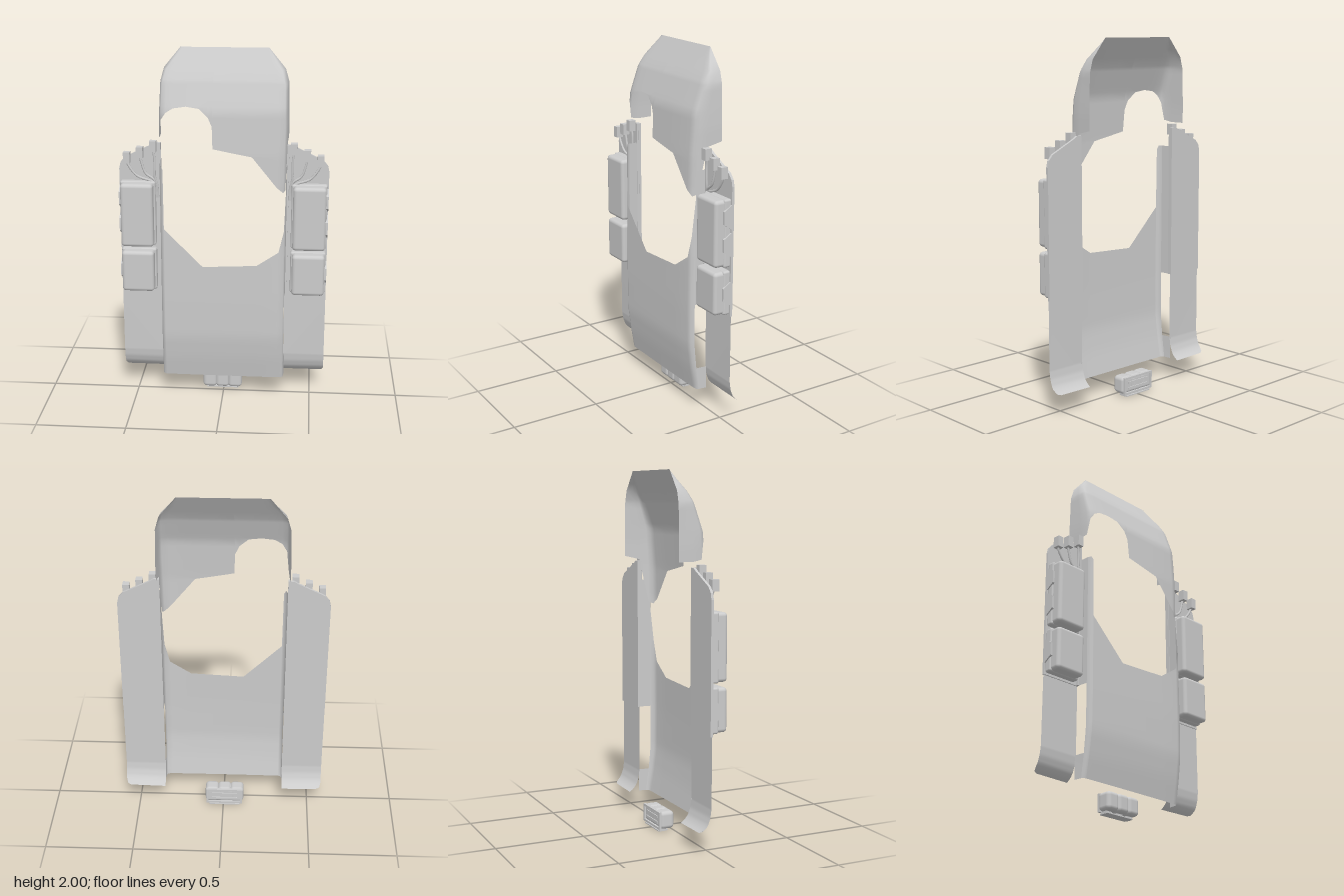
import * as THREE from 'three';
import { mergeVertices } from 'three/addons/utils/BufferGeometryUtils.js';
import { RoundedBoxGeometry } from 'three/addons/geometries/RoundedBoxGeometry.js';

const solid = new THREE.MeshStandardMaterial({ color: 0xcccccc });
const thin = new THREE.MeshStandardMaterial({ color: 0xcccccc, side: THREE.DoubleSide });

// Piecewise-linear lookup in a list of [key, value]
function lookup(points, k) {
  if (k <= points[0][0]) return points[0][1];
  for (let i = 1; i < points.length; i++) {
    const [a, va] = points[i - 1], [b, vb] = points[i];
    if (k <= b) return va + (vb - va) * (k - a) / (b - a);
  }
  return points[points.length - 1][1];
}

function add(parent, name, geometry, material = solid, x = 0, y = 0, z = 0) {
  const mesh = new THREE.Mesh(geometry, material);
  mesh.name = name;
  mesh.position.set(x, y, z);
  parent.add(mesh);
  return mesh;
}

// Curved sheet from columns [x, depth, low y, high y]; the rows are cut off at each column's ends
function sheet(columns, levels, place) {
  const pos = [], index = [], n = levels.length;
  for (const [x, d, lo, hi] of columns)
    for (const level of levels) pos.push(...place(x, d, Math.min(hi, Math.max(lo, level))));
  for (let c = 0; c < columns.length - 1; c++)
    for (let r = 0; r < n - 1; r++) {
      const a = c * n + r, b = a + n;
      index.push(a, b, b + 1, a, b + 1, a + 1);
    }
  let g = new THREE.BufferGeometry();
  g.setAttribute('position', new THREE.Float32BufferAttribute(pos, 3));
  g.setIndex(index);
  g = mergeVertices(g, 1e-5);
  const kept = [], id = g.index.array;
  for (let i = 0; i < id.length; i += 3) {
    const [a, b, c] = [id[i], id[i + 1], id[i + 2]];
    if (a !== b && b !== c && a !== c) kept.push(a, b, c);
  }
  g.setIndex(kept);
  g.computeVertexNormals();
  return g;
}

function rangeLevels(lo, hi, n) {
  return Array.from({ length: n + 1 }, (_, i) => lo + (hi - lo) * i / n);
}

function outline(points) {
  return new THREE.Shape(points.map(([x, y]) => new THREE.Vector2(x, y)));
}

// Upper shell: U-shaped sections that close into a chamfered top edge
function addHood(group) {
  const front = [[1.24, 0.09], [1.45, 0.087], [1.68, 0.07], [1.84, 0.01], [2, -0.09]];
  const width = [[1.24, 0.35], [1.6, 0.355], [1.82, 0.35], [1.89, 0.33], [2, 0.24]];
  const columns = [
    [-0.355, 0, 1.52], [-0.35, 0.5, 1.52], [-0.346, 0.8, 1.53], [-0.335, 0.93, 1.63],
    [-0.31, 0.98, 1.67], [-0.27, 1, 1.695], [-0.2, 1, 1.705], [-0.13, 1, 1.695], [-0.08, 1, 1.65],
    [-0.058, 1, 1.6], [-0.054, 1, 1.48], [0.05, 1, 1.46], [0.16, 1, 1.44], [0.3, 0.985, 1.27],
    [0.335, 0.93, 1.24], [0.346, 0.8, 1.25], [0.35, 0.5, 1.5], [0.355, 0, 1.52],
  ].map(c => [...c, 2]);
  const levels = [...rangeLevels(1.24, 1.82, 20), 1.84, 1.89, 1.93, 1.97, 2];
  add(group, 'hood', sheet(columns, levels, (x, d, y) =>
    [x * lookup(width, y) / 0.355, y, -0.09 + d * (lookup(front, y) + 0.09)]), thin);
}

// Lower front panel with its broken upper edge, and the side walls behind it
function addFrontPanel(group) {
  const front = [[0.12, 0.052], [0.25, 0.076], [0.38, 0.093], [0.6, 0.095], [1.38, 0.088]];
  const place = (x, d, y) => [x, y, -0.01 + d * (lookup(front, y) + 0.01)];
  const columns = [
    [-0.345, 0.72, 1.38], [-0.338, 0.92, 1.38], [-0.326, 0.97, 1.36], [-0.324, 0.97, 1.02],
    [-0.11, 1, 0.805], [0.19, 1, 0.82], [0.31, 0.98, 0.9], [0.338, 0.92, 1.02], [0.345, 0.72, 1.24],
  ].map(([x, d, top]) => [x, d, 0.12, top]);
  add(group, 'frontPanel', sheet(columns, rangeLevels(0.12, 1.38, 30), place), thin);
  for (const s of [-1, 1])
    for (const [lo, hi] of [[0.12, 0.25], [0.63, 1.38]]) {
      const wall = [[s * 0.345, 0.72, lo, hi], [s * 0.35, 0, lo, hi]];
      if (s < 0) wall.reverse();
      add(group, 'sideWall', sheet(wall, rangeLevels(lo, hi, 8), place), thin);
    }
}

// Equipment wing on the +x side
function makeWing() {
  const wing = new THREE.Group();

  // Upper back plate
  const plate = outline([[0.345, 0.63], [0.578, 0.63], [0.578, 1.34], [0.57, 1.375],
    [0.545, 1.405], [0.4, 1.475], [0.375, 1.49], [0.345, 1.49]]);
  add(wing, 'backPlate', new THREE.ExtrudeGeometry(plate, { depth: 0.014, bevelEnabled: false }), solid, 0, 0, -0.016);
  add(wing, 'innerRail', new THREE.BoxGeometry(0.012, 0.86, 0.014), solid, 0.352, 1.06, 0.003);

  // Lower flap with a lip sweeping back
  const lip = [[0.12, -0.072], [0.135, -0.05], [0.16, -0.03], [0.2, -0.015], [0.25, -0.008], [0.63, -0.008]];
  const flap = [[0.345, 0, 0.12, 0.63], [0.55, 0, 0.122, 0.63], [0.57, 0, 0.128, 0.63], [0.578, 0, 0.15, 0.63]];
  add(wing, 'lowerFlap', sheet(flap, [...rangeLevels(0.12, 0.25, 12), 0.63],
    (x, d, y) => [x, y, lookup(lip, y)]), thin);

  // Pouches
  for (const [lo, hi] of [[0.91, 1.272], [0.645, 0.882]]) {
    const y = (lo + hi) / 2, h = hi - lo;
    add(wing, 'pouch', new RoundedBoxGeometry(0.18, h, 0.094, 3, 0.02), solid, 0.475, y, 0.043);
    add(wing, 'pouchBase', new RoundedBoxGeometry(0.196, h + 0.008, 0.045, 2, 0.012), solid, 0.473, y, 0.014);
  }

  // Tapered clips on the outer faces of the pouches
  const clip = outline([[0, -0.065], [0.045, -0.035], [0.045, 0.035], [0, 0.065]]);
  for (const y of [1.18, 1.03, 0.76]) {
    const m = add(wing, 'sideClip', new THREE.ExtrudeGeometry(clip, { depth: 0.022, bevelEnabled: false }), solid, 0.578, y, -0.002);
    m.rotation.y = -Math.PI / 2;
  }

  // Plugs on the top edge with cables running down beside the pouch
  const plugs = [[0.385, 1.475, 0.366], [0.458, 1.44, 0.372], [0.53, 1.41, 0.378]];
  for (const [x, y, end] of plugs) {
    add(wing, 'plug', new THREE.BoxGeometry(0.036, 0.062, 0.04), solid, x, y, 0.025);
    const bend = 1.335 - (x - 0.385) * 0.2;
    const path = new THREE.CatmullRomCurve3([
      [x, y - 0.025, 0.02], [x - 0.006, (y + bend) / 2 + 0.01, 0.02], [x + (end - x) * 0.35, bend, 0.02],
      [end + 0.012, bend - 0.035, 0.018], [end, 1.25, 0.014], [end - 0.004, 1.18, 0.01],
    ].map(p => new THREE.Vector3(...p)));
    add(wing, 'cable', new THREE.TubeGeometry(path, 24, 0.007, 6));
  }
  return wing;
}

// Mirror a group across x, turning the triangles so they still face outward
function mirrored(source) {
  const copy = source.clone(true);
  copy.updateMatrixWorld(true);
  const result = new THREE.Group();
  copy.traverse(o => {
    if (!o.isMesh) return;
    const g = o.geometry.index ? o.geometry.toNonIndexed() : o.geometry.clone();
    g.applyMatrix4(o.matrixWorld).scale(-1, 1, 1);
    for (const a of Object.values(g.attributes))
      for (let i = 0; i < a.count; i += 3)
        for (let k = 0; k < a.itemSize; k++) {
          const t = a.getComponent(i + 1, k);
          a.setComponent(i + 1, k, a.getComponent(i + 2, k));
          a.setComponent(i + 2, k, t);
        }
    add(result, o.name, g, o.material);
  });
  return result;
}

// Three-lobed case hanging below the panel
function addLowerCase(group) {
  const box = new THREE.Group();
  box.name = 'lowerCase';
  box.position.x = -0.007;
  add(box, 'caseCore', new RoundedBoxGeometry(0.21, 0.085, 0.07, 2, 0.015), solid, 0, 0.066, -0.048);
  for (const x of [-0.073, 0, 0.073]) {
    add(box, 'lobe', new RoundedBoxGeometry(0.08, 0.1, 0.084, 3, 0.022), solid, x, 0.068, -0.042);
    add(box, 'foot', new THREE.BoxGeometry(0.042, 0.016, 0.045), solid, x, 0.012, -0.06);
  }
  // Rear frame and slats
  for (const s of [-1, 1]) {
    add(box, 'rearFrameSide', new THREE.BoxGeometry(0.012, 0.1, 0.015), solid, s * 0.1, 0.066, -0.084);
    add(box, 'rearFrameRail', new THREE.BoxGeometry(0.2, 0.012, 0.015), solid, 0, 0.066 + s * 0.044, -0.084);
  }
  for (const y of [0.05, 0.082])
    add(box, 'rearSlat', new THREE.BoxGeometry(0.15, 0.012, 0.01), solid, 0, y, -0.084);
  add(box, 'bottomPlate', new THREE.BoxGeometry(0.18, 0.006, 0.06), solid, 0, 0.007, -0.06);
  group.add(box);
}

export function createModel() {
  const group = new THREE.Group();
  group.name = 'armourShell';
  addHood(group);
  addFrontPanel(group);
  const left = makeWing(), right = mirrored(left);
  left.name = 'leftWing';
  right.name = 'rightWing';
  group.add(left, right);
  addLowerCase(group);
  return group;
}
